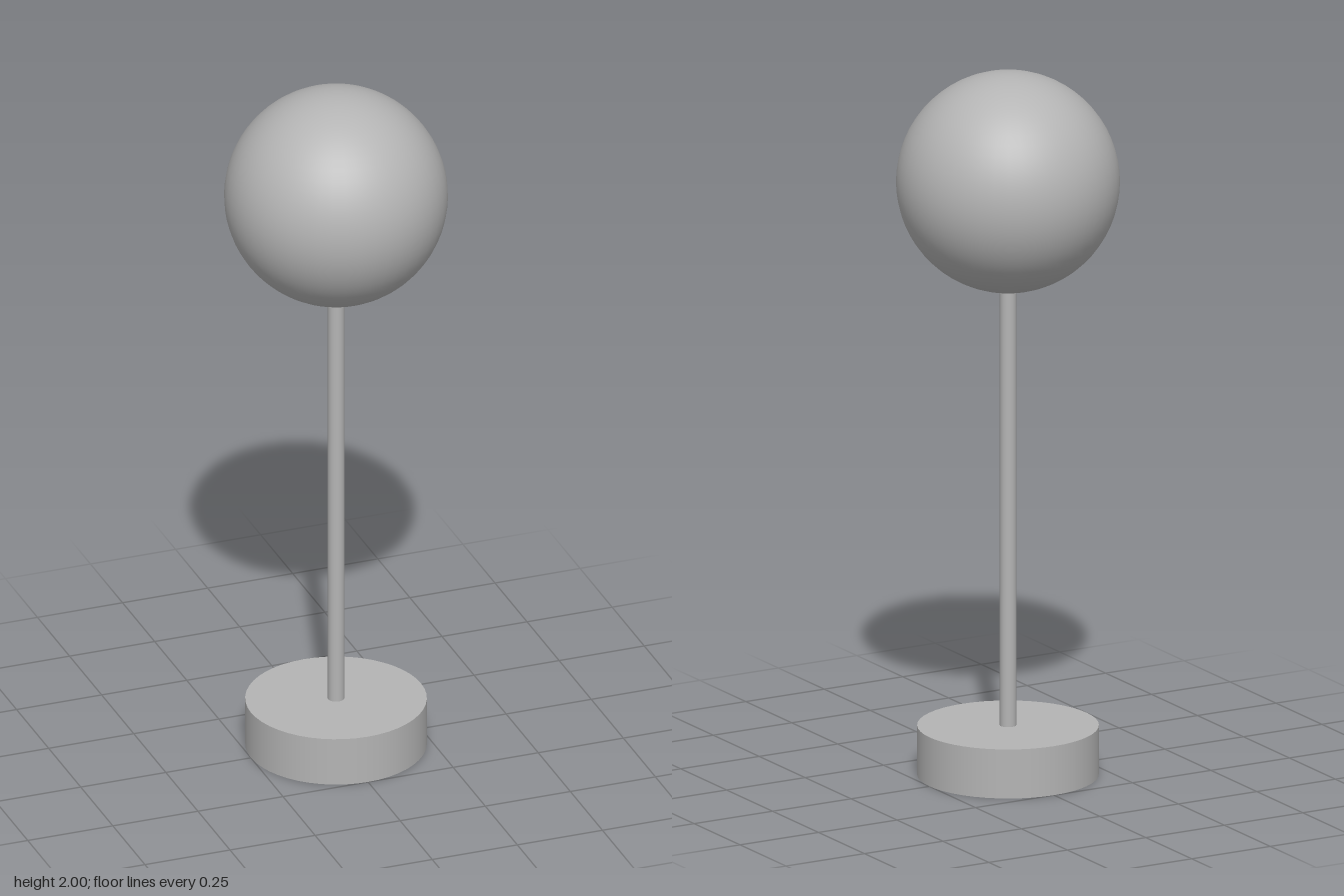
import * as THREE from 'three';

export function createModel() {
  const model = new THREE.Group();
  model.name = 'globeLamp';

  const grey = new THREE.MeshStandardMaterial({ color: 0xb4b4b4 });
  grey.name = 'grey';

  const add = (name, geometry, y) => {
    const mesh = new THREE.Mesh(geometry, grey);
    mesh.name = name;
    mesh.position.y = y;
    model.add(mesh);
  };

  const baseHeight = 0.14;
  const globeRadius = 0.308;
  const globeY = 2 - globeRadius;
  const stemTop = globeY - globeRadius + 0.02; // tucked into the globe

  // Heavy round foot
  add('base', new THREE.CylinderGeometry(0.25, 0.25, baseHeight, 48), baseHeight / 2);

  // Slim upright
  const stemLength = stemTop - baseHeight;
  add('stem', new THREE.CylinderGeometry(0.023, 0.023, stemLength, 24), baseHeight + stemLength / 2);

  // Round shade
  add('globe', new THREE.SphereGeometry(globeRadius, 48, 32), globeY);

  return model;
}
